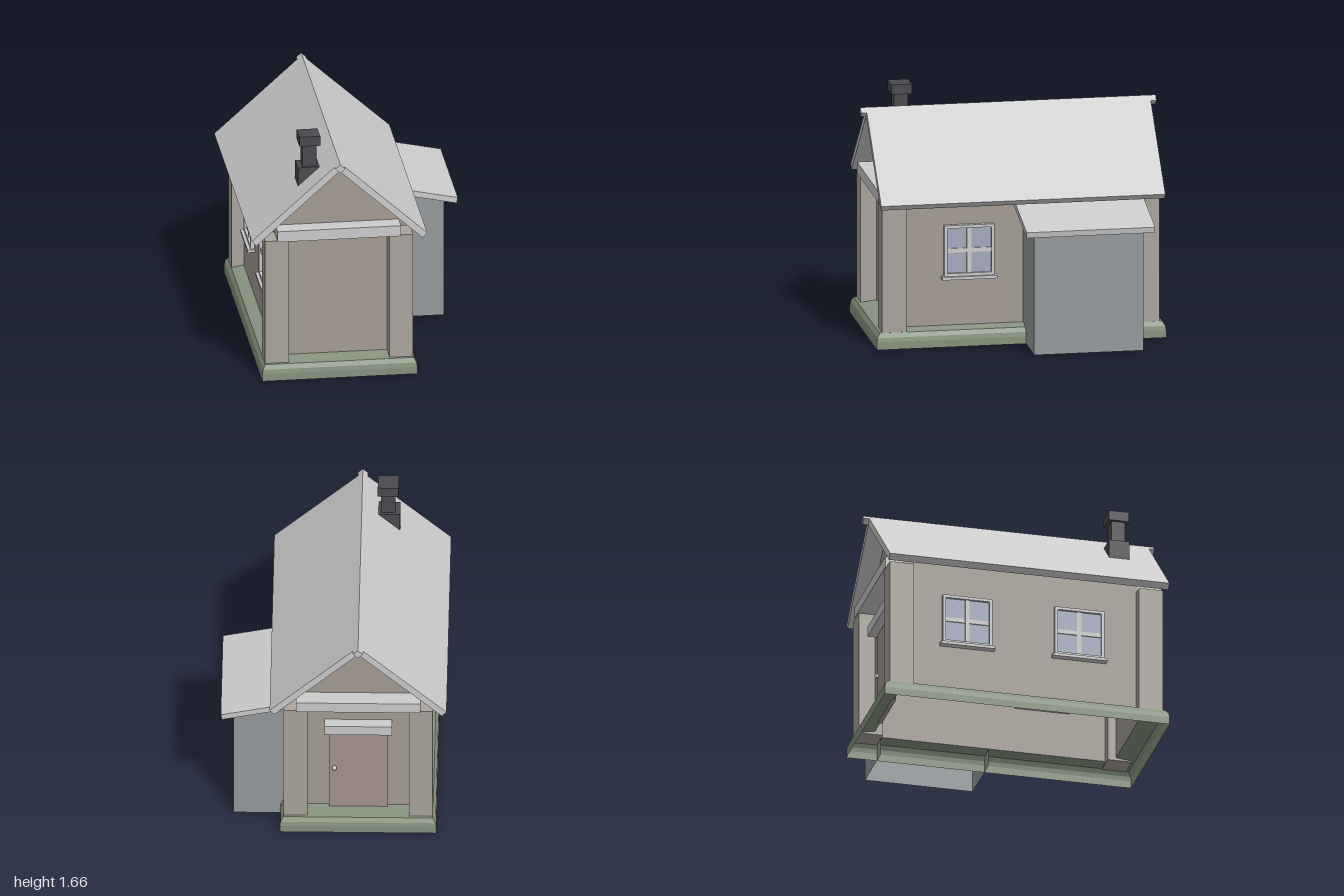
import * as THREE from 'three';

const mat = (color, side = THREE.FrontSide) => new THREE.MeshStandardMaterial({ color, side });
const GREY = mat(0xcccccc);
const WALL = mat(0xa39c94, THREE.DoubleSide);
const POST = mat(0xaaa49c);
const SHED = mat(0x969a9c, THREE.DoubleSide);
const MOSS = mat(0x87937f, THREE.DoubleSide);
const GLASS = mat(0xa4abbd);
const DOOR = mat(0xa3958c);
const SOOT = mat(0x4a4a50);

const CX = -0.165;            // centre line of the main house
const WX = 0.415, WZ = 0.83;  // half size of the walls
const APEX = 1.54;

function add(parent, name, geometry, material, x = 0, y = 0, z = 0) {
  const m = new THREE.Mesh(geometry, material);
  m.name = name;
  m.position.set(x, y, z);
  parent.add(m);
  return m;
}

// Box given by its minimum and maximum corners
function box(parent, name, material, x0, x1, y0, y1, z0, z1) {
  return add(parent, name, new THREE.BoxGeometry(x1 - x0, y1 - y0, z1 - z0), material,
    (x0 + x1) / 2, (y0 + y1) / 2, (z0 + z1) / 2);
}

const shape = (pts) => new THREE.Shape(pts.map(([x, y]) => new THREE.Vector2(x, y)));

// Outline in x, y carried along z from z0 to z1
function prism(parent, name, material, pts, z0, z1, x = 0) {
  const g = new THREE.ExtrudeGeometry(shape(pts), { depth: z1 - z0, bevelEnabled: false });
  return add(parent, name, g, material, x, 0, z0);
}

// Open shell through rectangular rings [halfWidth, halfDepth, y]
function rings(list) {
  const corners = [[1, 1], [1, -1], [-1, -1], [-1, 1]];
  const pos = [];
  const at = ([w, d, y], i) => [corners[i % 4][0] * w, y, corners[i % 4][1] * d];
  for (let r = 0; r < list.length - 1; r++) {
    for (let i = 0; i < 4; i++) {
      const a = at(list[r], i), b = at(list[r], i + 1);
      const c = at(list[r + 1], i + 1), d = at(list[r + 1], i);
      pos.push(...a, ...b, ...c, ...a, ...c, ...d);
    }
  }
  const g = new THREE.BufferGeometry();
  g.setAttribute('position', new THREE.Float32BufferAttribute(pos, 3));
  g.computeVertexNormals();
  return g;
}

// Four-pane window facing +z, centred on its own origin
function makeWindow() {
  const w = new THREE.Group();
  w.name = 'window';
  const hw = 0.17, hh = 0.175;
  box(w, 'glass', GLASS, -hw + 0.01, hw - 0.01, -hh + 0.01, hh - 0.01, -0.02, 0.012);
  for (const s of [-1, 1]) {
    add(w, 'frameSide', new THREE.BoxGeometry(0.02, 2 * hh, 0.05), GREY, s * (hw - 0.01), 0, 0.005);
    add(w, 'frameRail', new THREE.BoxGeometry(2 * hw - 0.04, 0.02, 0.05), GREY, 0, s * (hh - 0.01), 0.005);
  }
  box(w, 'uprightBar', GREY, -0.015, 0.015, -hh + 0.02, hh - 0.02, 0, 0.02);
  box(w, 'crossBar', GREY, -hw + 0.02, hw - 0.02, -0.015, 0.015, 0, 0.019);
  box(w, 'sill', GREY, -0.187, 0.187, -hh - 0.02, -hh, -0.02, 0.05);
  return w;
}

export function createModel() {
  const model = new THREE.Group();
  model.name = 'house';

  // Mossy plinth with a rounded shoulder, open underneath
  add(model, 'plinth', rings([
    [0.522, 0.98, 0], [0.522, 0.98, 0.05], [0.517, 0.975, 0.08],
    [0.499, 0.957, 0.11], [WX, WZ, 0.125],
  ]), MOSS, CX);

  // Walls: two sides and two gabled ends
  add(model, 'sideWalls', (() => {
    const g = rings([[WX, WZ, 0.125], [WX, WZ, 1.1]]);
    return g;
  })(), WALL, CX);
  for (const s of [-1, 1]) {
    const gable = add(model, 'gable', new THREE.ShapeGeometry(
      shape([[-WX, 1.1], [WX, 1.1], [0, APEX - 0.06]])), WALL, CX, 0, s * WZ);
    if (s < 0) gable.rotation.y = Math.PI;
  }

  // Corner posts and the beams across each end
  for (const sz of [-1, 1]) {
    for (const sx of [-1, 1]) {
      add(model, 'cornerPost', new THREE.BoxGeometry(0.16, 0.885, 0.165), POST,
        CX + sx * 0.418, 0.5475, sz * 0.8575);
    }
    add(model, 'endBeam', new THREE.BoxGeometry(0.83, 0.075, 0.165), GREY, CX, 1.0225, sz * 0.8675);
  }

  // Main roof and ridge pole
  prism(model, 'roof', GREY, [
    [0, 1.478], [0.56, 0.97], [0.59, 1.005], [0, APEX], [-0.59, 1.005], [-0.56, 0.97],
  ], -0.962, 0.962, CX);
  prism(model, 'ridgePole', GREY, [[0, 1.478], [0.033, 1.51], [0, 1.541], [-0.033, 1.51]], -1, 1, CX);

  // Lean-to shed, open underneath, with a sloping roof
  const shedX0 = 0.25, shedX1 = 0.67, shedZ0 = -0.77, shedZ1 = -0.03;
  const shed = new THREE.Group();
  shed.name = 'shed';
  model.add(shed);
  const side = shape([[shedX0, 0], [shedX1, 0], [shedX1, 0.825], [shedX0, 0.925]]);
  add(shed, 'shedFront', new THREE.ShapeGeometry(side), SHED, 0, 0, shedZ1);
  add(shed, 'shedBack', new THREE.ShapeGeometry(side), SHED, 0, 0, shedZ0);
  add(shed, 'shedSide', new THREE.PlaneGeometry(shedZ1 - shedZ0, 0.825), SHED,
    shedX1, 0.4125, (shedZ0 + shedZ1) / 2).rotation.y = Math.PI / 2;
  prism(shed, 'shedRoof', GREY, [
    [0.245, 0.932], [0.745, 0.826], [0.753, 0.866], [0.245, 0.973],
  ], -0.835, 0.035);

  // Windows: one on the left side, two on the right side
  for (const [s, z] of [[1, 0.34], [-1, 0.38], [-1, -0.39]]) {
    const w = makeWindow();
    w.position.set(CX + s * WX, 0.64, z);
    w.rotation.y = s * Math.PI / 2;
    model.add(w);
  }

  // Back door with its canopy and knob
  const door = new THREE.Group();
  door.name = 'backDoor';
  model.add(door);
  box(door, 'doorPanel', DOOR, CX - 0.195, CX + 0.195, 0.12, 0.77, -WZ - 0.02, -WZ + 0.01);
  box(door, 'doorCanopy', GREY, CX - 0.225, CX + 0.225, 0.765, 0.835, -WZ - 0.08, -WZ + 0.01);
  add(door, 'doorKnob', new THREE.SphereGeometry(0.016, 12, 8), GREY, CX + 0.16, 0.45, -WZ - 0.033);

  // Chimney: footing in the roof, shaft and cap
  const chimney = new THREE.Group();
  chimney.name = 'chimney';
  chimney.position.set(-0.34, 0, 0.702);
  model.add(chimney);
  box(chimney, 'chimneyFooting', SOOT, -0.08, 0.08, 1.27, 1.44, -0.07, 0.07);
  box(chimney, 'chimneyShaft', SOOT, -0.048, 0.048, 1.43, 1.6, -0.048, 0.048);
  box(chimney, 'chimneyCap', SOOT, -0.07, 0.07, 1.592, 1.66, -0.07, 0.07);

  return model;
}
